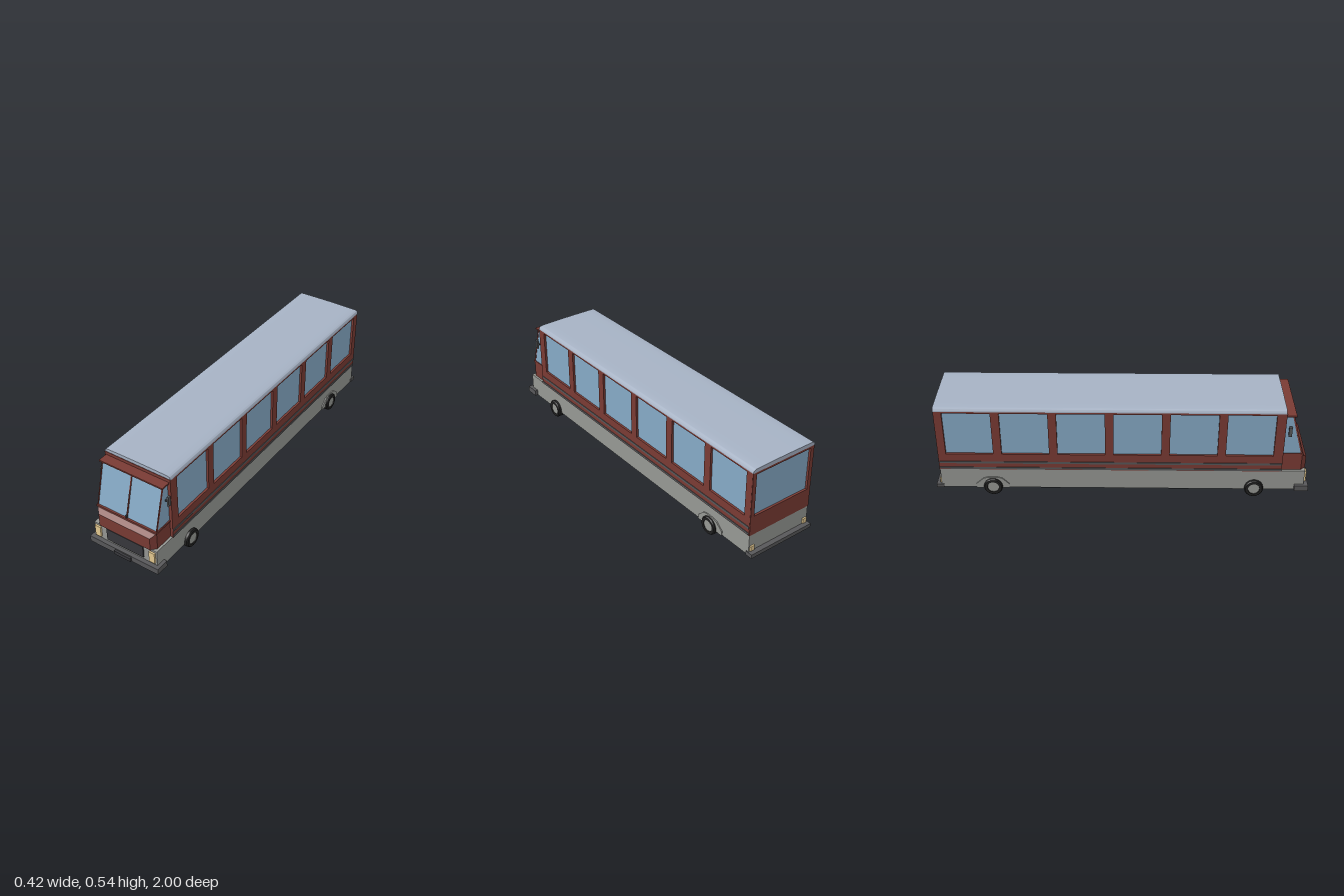
import * as THREE from 'three';
import { toCreasedNormals } from 'three/addons/utils/BufferGeometryUtils.js';

const mat = (color) => new THREE.MeshStandardMaterial({ color });

export function createModel() {
  const bus = new THREE.Group();
  bus.name = 'bus';
  const red = mat(0x7a3b34), grey = mat(0x969894), glass = mat(0x86aac6), roofGrey = mat(0xa6b2c4);
  const dark = mat(0x38383c), bumperGrey = mat(0x58585a), black = mat(0x202020), lamp = mat(0xe6cb92);

  const add = (name, geometry, material) => {
    const mesh = new THREE.Mesh(geometry, material);
    mesh.name = name;
    bus.add(mesh);
    return mesh;
  };
  // box from its low and high limits on each axis
  const box = (name, x0, x1, y0, y1, z0, z1, material) => {
    const g = new THREE.BoxGeometry(x1 - x0, y1 - y0, z1 - z0);
    g.translate((x0 + x1) / 2, (y0 + y1) / 2, (z0 + z1) / 2);
    return add(name, g, material);
  };
  const rect = (a0, a1, b0, b1, Type = THREE.Shape) => new Type([
    new THREE.Vector2(a0, b0), new THREE.Vector2(a1, b0), new THREE.Vector2(a1, b1), new THREE.Vector2(a0, b1)]);
  // extrude a (z, y) outline across the width from x0 to x1
  const extrudeX = (name, shape, x0, x1, material) => {
    const g = new THREE.ExtrudeGeometry(shape, { depth: x1 - x0, bevelEnabled: false, curveSegments: 12 });
    g.rotateY(-Math.PI / 2);
    g.translate(x1, 0, 0);
    return add(name, g, material);
  };
  const polygon = (points) => new THREE.Shape(points.map(([a, b]) => new THREE.Vector2(a, b)));

  // lower body and floor
  box('skirt', -0.192, 0.192, 0.04, 0.16, -0.973, 0.965, grey);
  box('floor', -0.188, 0.188, 0.036, 0.042, -0.97, 0.96, black);

  // saloon: glass core seen through openings in the wall panels
  box('saloonGlass', -0.183, 0.183, 0.24, 0.51, -0.963, 0.82, glass);
  const wall = rect(-0.972, 0.84, 0.157, 0.518);
  for (let i = 0; i < 6; i++) {
    const z = 0.665 - i * 0.2945;
    wall.holes.push(rect(z - 0.125, z + 0.125, 0.255, 0.505, THREE.Path));
  }
  for (const s of [-1, 1]) {
    extrudeX('sideWall', wall, s > 0 ? 0.175 : -0.195, s > 0 ? 0.195 : -0.175, red);
    for (const y of [0.167, 0.203])
      box('sideMoulding', s * 0.196 - 0.002, s * 0.196 + 0.002, y - 0.006, y + 0.006, -0.97, 0.838, bumperGrey);
  }
  const rear = rect(-0.194, 0.194, 0.157, 0.518);
  rear.holes.push(rect(-0.172, 0.172, 0.265, 0.503, THREE.Path));
  const rearGeometry = new THREE.ExtrudeGeometry(rear, { depth: 0.02, bevelEnabled: false });
  rearGeometry.translate(0, 0, -0.975);
  add('rearWall', rearGeometry, red);
  box('frontBulkhead', -0.194, 0.194, 0.157, 0.518, 0.81, 0.84, red);

  // roof with rounded shoulders
  const roof = new THREE.Shape();
  roof.moveTo(-0.196, 0.515);
  roof.lineTo(0.196, 0.515);
  roof.bezierCurveTo(0.196, 0.528, 0.19, 0.533, 0.174, 0.535);
  roof.quadraticCurveTo(0, 0.539, -0.174, 0.535);
  roof.bezierCurveTo(-0.19, 0.533, -0.196, 0.528, -0.196, 0.515);
  const roofGeometry = new THREE.ExtrudeGeometry(roof, { depth: 1.814, bevelEnabled: false, curveSegments: 10 });
  roofGeometry.translate(0, 0, -0.976);
  add('roof', toCreasedNormals(roofGeometry, 0.7), roofGrey);

  // cab glass with raked windscreen
  extrudeX('cabGlass', polygon([[0.835, 0.255], [0.94, 0.255], [0.876, 0.497], [0.835, 0.497]]), -0.178, 0.178, glass);
  const strip = polygon([[0.935, 0.26], [0.944, 0.26], [0.88, 0.497], [0.871, 0.497]]);
  extrudeX('windscreenBar', strip, -0.003, 0.003, red);
  for (const s of [-1, 1]) extrudeX('windscreenPillar', strip, s * 0.178 - 0.002, s * 0.178 + 0.002, red);
  box('visor', -0.188, 0.188, 0.493, 0.501, 0.835, 0.892, red);
  box('windscreenSill', -0.183, 0.183, 0.254, 0.264, 0.835, 0.948, red);
  box('wiperMount', -0.004, 0.004, 0.264, 0.28, 0.935, 0.946, dark);

  // nose: box with its front end tapered
  let nose = new THREE.BoxGeometry(0.36, 0.098, 0.13, 1, 1, 2);
  nose.translate(0, 0.206, 0.9);
  const p = nose.attributes.position;
  for (let i = 0; i < p.count; i++) {
    const z = p.getZ(i);
    if (z > 0.95) {
      p.setXYZ(i, p.getX(i) * 0.865, Math.min(p.getY(i), 0.23), 0.969);
    } else if (z > 0.86) p.setZ(i, 0.943);
  }
  nose = nose.toNonIndexed();
  nose.computeVertexNormals();
  add('nose', nose, red);

  // front fittings
  box('grille', -0.112, 0.112, 0.088, 0.157, 0.95, 0.972, dark);
  box('frontBumper', -0.21, 0.21, 0.04, 0.073, 0.915, 0.988, bumperGrey);
  box('frontPlate', -0.05, 0.05, 0.047, 0.067, 0.98, 1, dark);
  box('rearBumper', -0.197, 0.197, 0.038, 0.06, -1, -0.96, bumperGrey);
  for (const s of [-1, 1]) {
    const x = s * 0.166;
    box('headlight', x - 0.017, x + 0.017, 0.087, 0.149, 0.95, 0.975, lamp);
    box('tailLight', s * 0.173 - 0.012, s * 0.173 + 0.012, 0.064, 0.092, -0.981, -0.96, lamp);
    box('mirror', s * 0.2 - 0.005, s * 0.2 + 0.005, 0.384, 0.44, 0.855, 0.872, bumperGrey);
    box('mirrorArm', s * 0.187 - 0.013, s * 0.187 + 0.013, 0.403, 0.409, 0.858, 0.866, dark);

    // rear wheel arch
    const arch = polygon([[-0.785, 0.04], [-0.785, 0.065], [-0.745, 0.1], [-0.72, 0.107], [-0.67, 0.107],
      [-0.645, 0.1], [-0.61, 0.065], [-0.61, 0.04]]);
    extrudeX('wheelArch', arch, s * 0.19 - 0.008, s * 0.19 + 0.008, grey);

    // wheels
    for (const z of [0.7, -0.695]) {
      const wheel = new THREE.Group();
      wheel.name = 'wheel';
      const profile = [[0.029, -0.032], [0.045, -0.032], [0.05, -0.026], [0.05, 0.026], [0.045, 0.032],
        [0.031, 0.032], [0.029, 0.024]].map(([r, y]) => new THREE.Vector2(r, y));
      const tyre = new THREE.Mesh(toCreasedNormals(new THREE.LatheGeometry(profile, 32), 0.6), black);
      tyre.name = 'tyre';
      const hub = new THREE.Mesh(new THREE.CylinderGeometry(0.03, 0.03, 0.058, 24), grey);
      hub.name = 'hub';
      wheel.add(tyre, hub);
      wheel.rotation.z = -s * Math.PI / 2;
      wheel.position.set(s * 0.178, 0.0505, z);
      bus.add(wheel);
    }
  }
  return bus;
}
